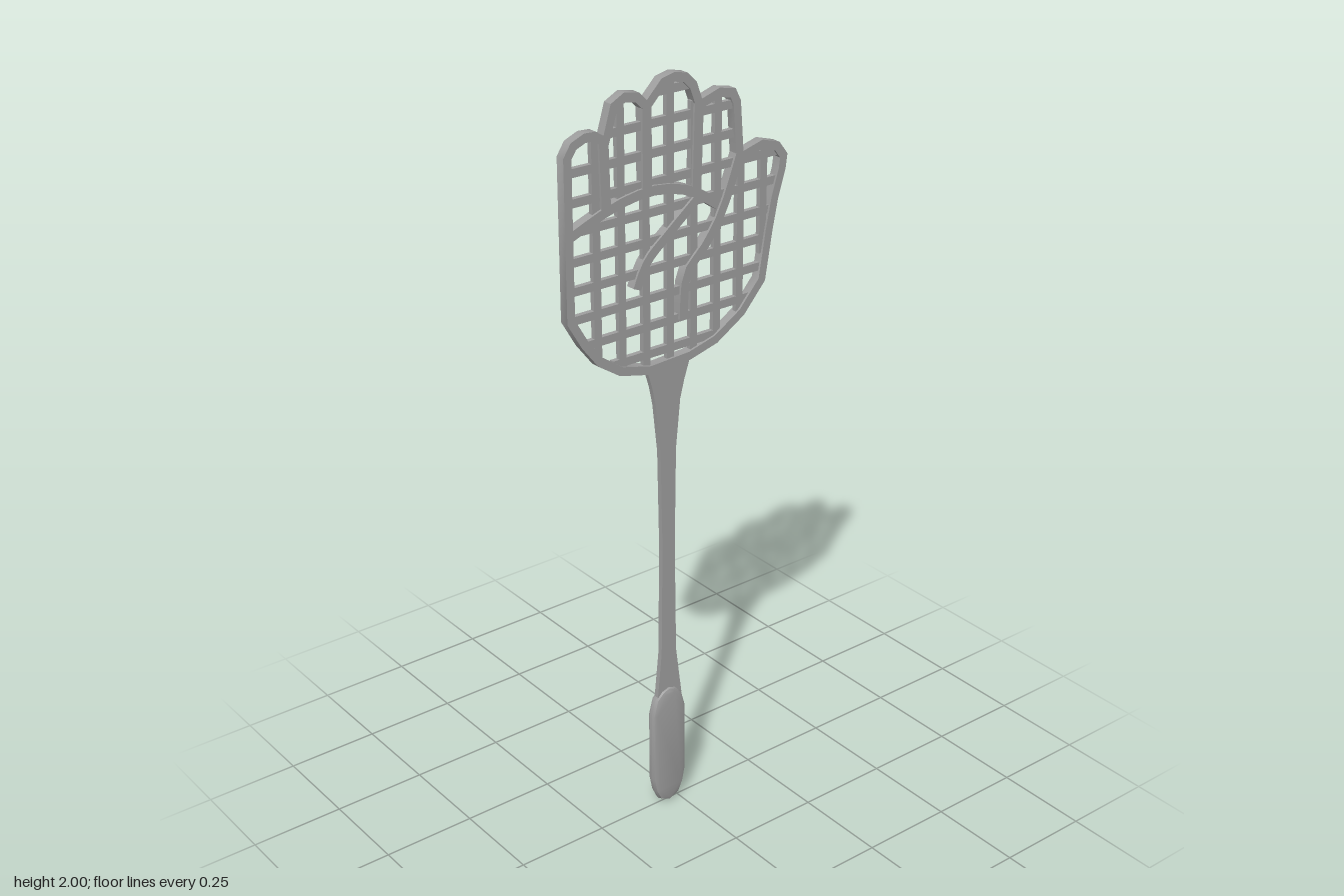
import * as THREE from 'three';
import { toCreasedNormals } from 'three/addons/utils/BufferGeometryUtils.js';

const material = new THREE.MeshStandardMaterial({ color: 0x9d9d9d });
const toVecs = (pts) => pts.map(([x, y]) => new THREE.Vector2(x, y));

// Hand silhouette, counter-clockwise, drawn in a flat (u, y) plane
const HAND = toVecs([
  [-0.09, 1.272], [0.032, 1.278], [0.116, 1.3], [0.2, 1.352], [0.265, 1.426], [0.286, 1.553],
  [0.302, 1.632], [0.323, 1.7], [0.328, 1.738], [0.302, 1.772], [0.249, 1.788], [0.19, 1.772],   // thumb
  [0.18, 1.897], [0.164, 1.929], [0.116, 1.939], [0.064, 1.923],                                 // index
  [0.048, 1.966], [0.021, 1.992], [-0.016, 2.0], [-0.053, 1.992], [-0.095, 1.95],                // middle
  [-0.116, 1.971], [-0.159, 1.979], [-0.196, 1.96], [-0.217, 1.891],                             // ring
  [-0.238, 1.905], [-0.27, 1.907], [-0.307, 1.892], [-0.328, 1.86],                              // little
  [-0.328, 1.463], [-0.288, 1.394], [-0.243, 1.336], [-0.18, 1.294],
]);

// Shift a polyline sideways (to its left) with limited mitres
function offset(pts, d, closed) {
  const n = pts.length;
  return pts.map((p, i) => {
    const prev = closed || i > 0 ? pts[(i + n - 1) % n] : null;
    const next = closed || i < n - 1 ? pts[(i + 1) % n] : null;
    const a = prev ? p.clone().sub(prev).normalize() : next.clone().sub(p).normalize();
    const b = next ? next.clone().sub(p).normalize() : a;
    const normal = new THREE.Vector2(-a.y - b.y, a.x + b.x).normalize();
    const cos = Math.max(0.65, normal.x * -a.y + normal.y * a.x);
    return p.clone().addScaledVector(normal, d / cos);
  });
}

// Flat plate of a given thickness, centred on the plane
function plate(name, shape, thickness, bevel = 0) {
  const depth = thickness - 2 * bevel;
  const geometry = new THREE.ExtrudeGeometry(shape, {
    depth, bevelEnabled: bevel > 0, bevelThickness: bevel, bevelSize: bevel,
    bevelOffset: -bevel, bevelSegments: 2,
  });
  geometry.translate(0, 0, -depth / 2);
  const mesh = new THREE.Mesh(toCreasedNormals(geometry, 0.75), material);
  mesh.name = name;
  return mesh;
}

// Raised rib following a line
function rib(name, points, width, thickness, smooth = false) {
  let pts = toVecs(points);
  if (smooth) pts = new THREE.SplineCurve(pts).getPoints(10);
  const outline = [...offset(pts, -width / 2), ...offset(pts, width / 2).reverse()];
  return plate(name, new THREE.Shape(outline), thickness);
}

// Intervals of a closed outline along the line axis = value
function spans(outline, axis, value) {
  const other = axis === 'x' ? 'y' : 'x';
  const hits = [];
  outline.forEach((a, i) => {
    const b = outline[(i + 1) % outline.length];
    if (a[axis] > value !== b[axis] > value) {
      hits.push(a[other] + ((value - a[axis]) / (b[axis] - a[axis])) * (b[other] - a[other]));
    }
  });
  hits.sort((p, q) => p - q);
  const result = [];
  for (let i = 0; i + 1 < hits.length; i += 2) result.push([hits[i], hits[i + 1]]);
  return result;
}

// Crossing bars, each cut so that both its edges end inside the rim
function createGrid() {
  const grid = new THREE.Group();
  grid.name = 'grid';
  const pitch = 0.0709, width = 0.021, depth = 0.013;
  const limit = offset(HAND, 0.007, true);
  const addBars = (name, axis, start, count) => {
    for (let i = 0; i < count; i++) {
      const at = start + i * pitch;
      for (const [a, b] of spans(limit, axis, at - width / 2)) {
        for (const [c, d] of spans(limit, axis, at + width / 2)) {
          const lo = Math.max(a, c), hi = Math.min(b, d), mid = (lo + hi) / 2;
          if (hi - lo < 0.03) continue;
          const upright = axis === 'x';
          const bar = new THREE.Mesh(
            new THREE.BoxGeometry(upright ? width : hi - lo, upright ? hi - lo : width, depth), material);
          bar.name = name;
          bar.position.set(upright ? at : mid, upright ? mid : at, 0);
          grid.add(bar);
        }
      }
    }
  };
  addBars('verticalBar', 'x', -0.237, 8);
  addBars('horizontalBar', 'y', 1.323, 10);
  return grid;
}

export function createModel() {
  const model = new THREE.Group();
  model.name = 'handSwatter';
  const paddle = new THREE.Group();
  paddle.name = 'paddle';
  const THICK = 0.025;

  // Rim around the hand
  const rimShape = new THREE.Shape(HAND);
  rimShape.holes.push(new THREE.Path(offset(HAND, 0.022, true).reverse()));
  paddle.add(plate('rim', rimShape, THICK), createGrid());

  // Lines between the fingers
  const dividers = [
    [[-0.217, 1.885], [-0.212, 1.71]],
    [[-0.095, 1.94], [-0.095, 1.725]],
    [[0.056, 1.915], [0.05, 1.7]],
  ];
  dividers.forEach((pts) => paddle.add(rib('fingerDivider', pts, 0.026, THICK)));

  // Palm creases
  const creases = [
    [[-0.317, 1.67], [-0.19, 1.717], [-0.074, 1.732], [0.032, 1.708], [0.116, 1.655]],
    [[0.06, 1.69], [-0.032, 1.617], [-0.095, 1.563], [-0.127, 1.5]],
    [[0.183, 1.775], [0.13, 1.64], [0.075, 1.56], [0.021, 1.5], [0.011, 1.39]],
  ];
  creases.forEach((pts) => paddle.add(rib('palmCrease', pts, 0.024, THICK, true)));

  // Flared shaft
  const shaft = new THREE.Shape(toVecs([
    [-0.069, 0.33], [0.01, 0.33], [0.002, 0.39], [-0.008, 0.47], [-0.012, 0.78], [-0.008, 1.05],
    [0.005, 1.18], [0.018, 1.23], [0.037, 1.287], [-0.097, 1.287], [-0.08, 1.23], [-0.07, 1.18],
    [-0.056, 1.05], [-0.051, 0.78], [-0.055, 0.47], [-0.063, 0.39],
  ]));

  // Faceted grip with a wide chamfer
  const grip = new THREE.Shape(toVecs([
    [-0.033, 0.005], [-0.002, 0.02], [0.012, 0.05], [0.02, 0.09], [0.02, 0.29], [0.008, 0.335], [-0.012, 0.355],
    [-0.033, 0.362], [-0.054, 0.355], [-0.074, 0.335], [-0.086, 0.29], [-0.086, 0.09], [-0.078, 0.05], [-0.064, 0.02],
  ]));

  // Turn the flat drawing so it lies in the side plane
  const turned = new THREE.Group();
  turned.name = 'swatter';
  turned.rotation.y = Math.PI / 2;
  turned.add(paddle, plate('shaft', shaft, 0.014), plate('grip', grip, 0.03, 0.011));
  model.add(turned);
  return model;
}
